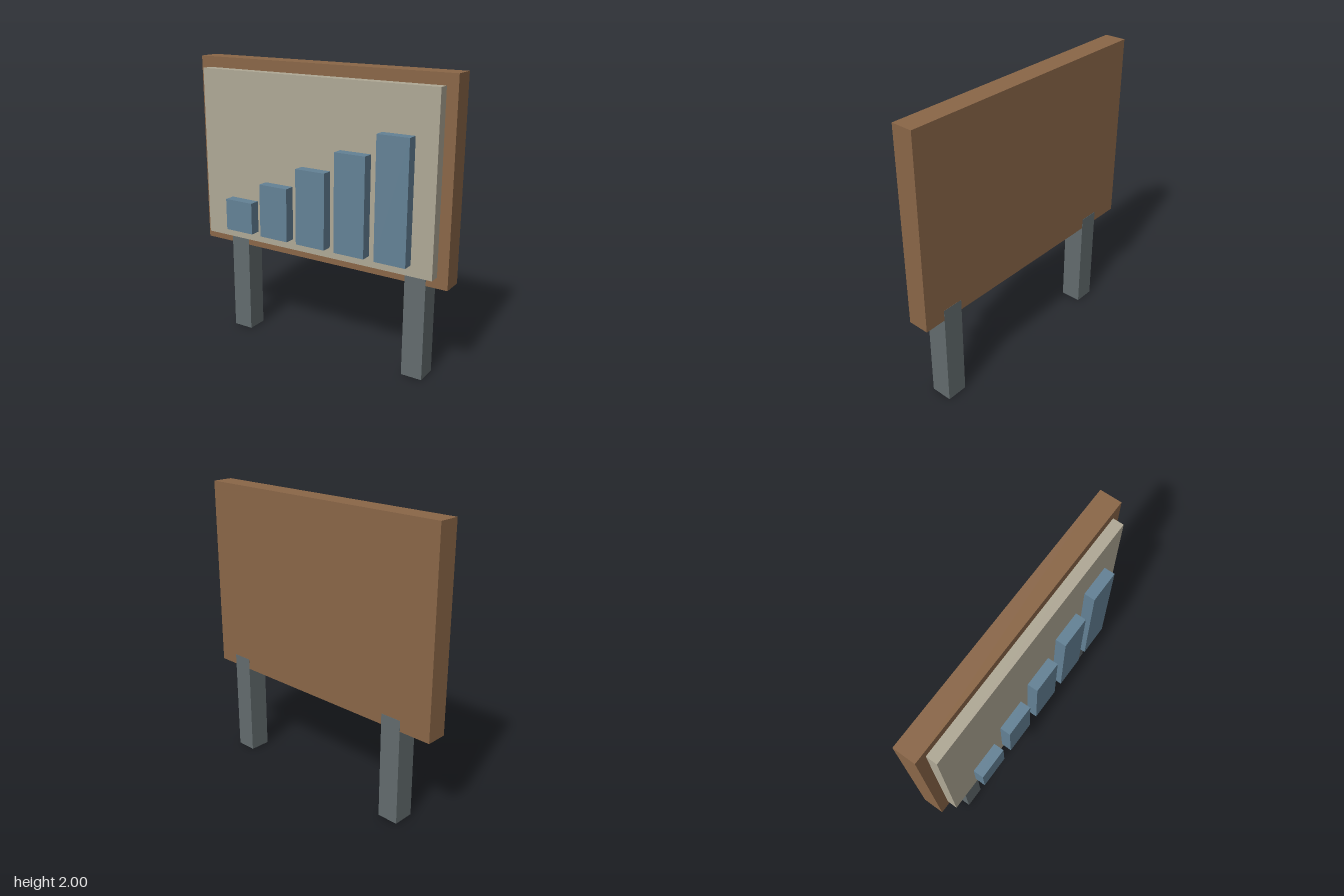
import * as THREE from 'three';

// The sign is laid out on a block grid, 27 blocks tall for 2 units.
const U = 2 / 27;

export function createModel() {
  const model = new THREE.Group();
  model.name = 'chartSign';

  const paint = (color) => new THREE.MeshStandardMaterial({ color, flatShading: true });
  const wood = paint(0x8b6748);
  const paper = paint(0xb0a996);
  const blue = paint(0x648296);
  const steel = paint(0x636c6e);

  // Box between two corners given in grid blocks
  function block(name, material, [x0, y0, z0], [x1, y1, z1]) {
    const geometry = new THREE.BoxGeometry((x1 - x0) * U, (y1 - y0) * U, (z1 - z0) * U);
    const mesh = new THREE.Mesh(geometry, material);
    mesh.name = name;
    mesh.position.set((x0 + x1) / 2 * U, (y0 + y1) / 2 * U, (z0 + z1) / 2 * U);
    model.add(mesh);
  }

  // Backing board and the raised panel on its front
  block('board', wood, [-13, 9, -2], [13, 27, 0]);
  block('panel', paper, [-12, 10, 0], [12, 26, 1]);

  // Posts let into the board's lower edge, a hair proud of its faces
  const proud = 0.015;
  block('rightPost', steel, [-10, 0, -2 - proud], [-8, 10, proud]);
  block('leftPost', steel, [9, 0, -2 - proud], [11, 10, proud]);

  // Five chart bars, each taller than the last
  for (let i = 0; i < 5; i++) {
    const x = -9 + 4 * i;
    block(`chartBar${i + 1}`, blue, [x, 11, 1], [x + 3, 14 + 2 * i, 2]);
  }

  return model;
}
